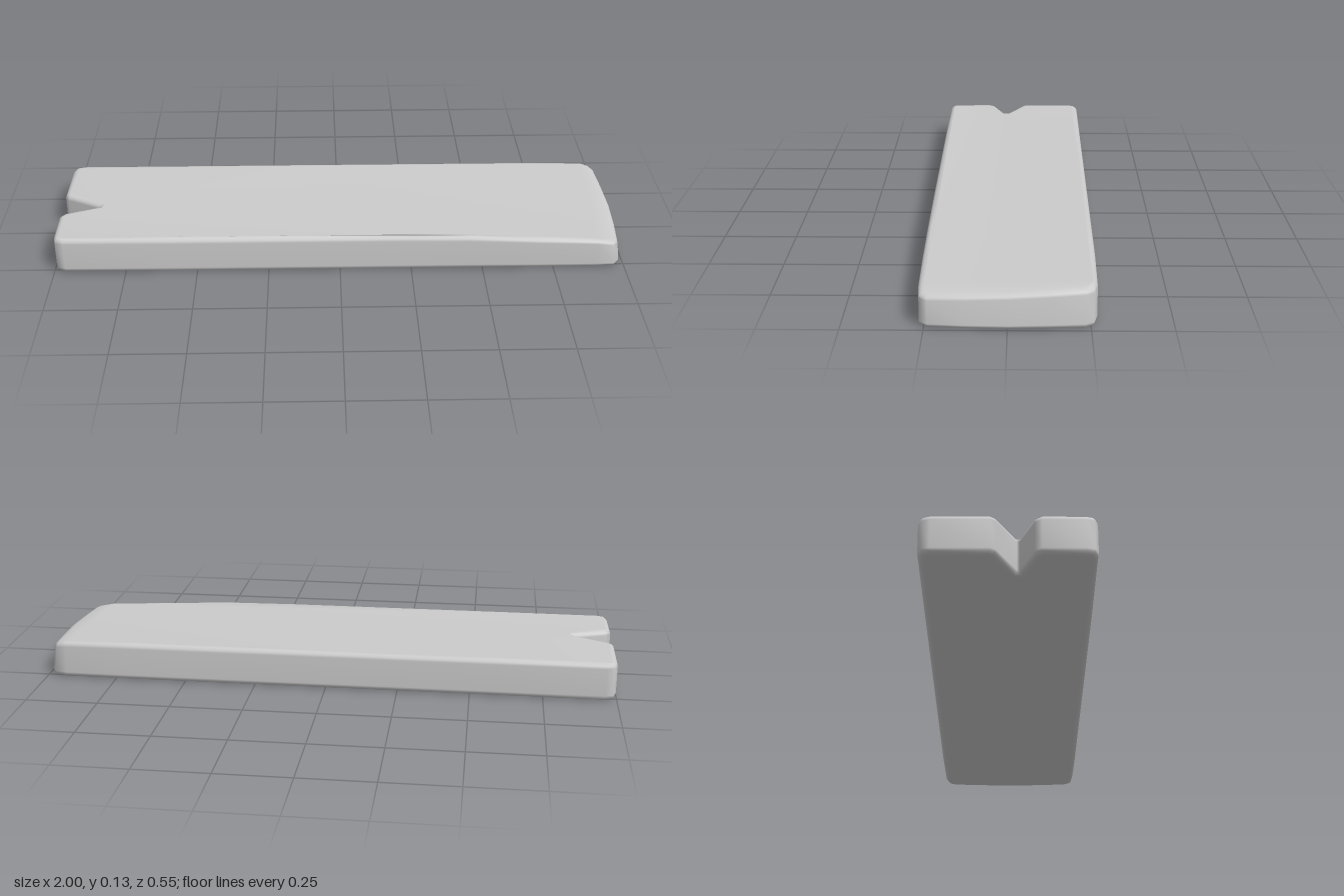
import * as THREE from 'three';
import { mergeVertices } from 'three/addons/utils/BufferGeometryUtils.js';

const HEIGHT = 0.133, BEVEL = 0.018;

// Plan outline of the plank as [x, z], running along the front, the end, the back and the notch
const OUTLINE = [
  [-0.96, 0.27], [-0.6, 0.272], [-0.2, 0.272], [0.2, 0.272], [0.45, 0.272], [0.7, 0.272], [0.9, 0.27],
  [0.965, 0.265], [0.985, 0.24], [0.995, 0.13], [1, 0], [0.995, -0.13], [0.987, -0.235], [0.972, -0.26],
  [0.93, -0.27], [0.7, -0.273], [0.45, -0.273], [0.2, -0.273], [-0.2, -0.273], [-0.6, -0.273], [-0.96, -0.273],
  [-0.988, -0.262], [-0.998, -0.235], [-0.998, -0.055], [-0.985, -0.037],
  [-0.865, 0.025], [-0.865, 0.034],
  [-0.98, 0.078], [-0.997, 0.1], [-0.995, 0.235], [-0.987, 0.26],
];

function plankGeometry() {
  const shape = new THREE.Shape(OUTLINE.map(([x, z]) => new THREE.Vector2(x, -z)));
  let geometry = new THREE.ExtrudeGeometry(shape, {
    depth: HEIGHT - 2 * BEVEL, steps: 1,
    bevelEnabled: true, bevelSize: BEVEL, bevelThickness: BEVEL, bevelOffset: -BEVEL, bevelSegments: 3,
  });
  geometry.rotateX(-Math.PI / 2);
  geometry.translate(0, BEVEL, 0);

  // Worn top: it sinks towards the front left corner and rounds over at the left end
  const p = geometry.attributes.position;
  for (let i = 0; i < p.count; i++) {
    const x = p.getX(i), y = p.getY(i), z = p.getZ(i);
    const up = y / HEIGHT;
    const along = THREE.MathUtils.smoothstep(x, 0.3, 1);
    const across = THREE.MathUtils.clamp((z + 0.25) / 0.5, 0, 1);
    const end = THREE.MathUtils.smoothstep(x, 0.9, 1);
    p.setY(i, y - up * (0.026 * along * across + 0.012 * end));
    p.setX(i, x - 0.015 * end * up * up);
  }

  // Weld the surface for soft shading
  geometry.deleteAttribute('normal');
  geometry.deleteAttribute('uv');
  geometry.clearGroups();
  geometry = mergeVertices(geometry, 1e-4);
  geometry.computeVertexNormals();
  return geometry;
}

export function createModel() {
  const group = new THREE.Group();
  group.name = 'notchedPlank';
  const plank = new THREE.Mesh(plankGeometry(), new THREE.MeshStandardMaterial({ color: 0xcccccc }));
  plank.name = 'plank';
  group.add(plank);
  return group;
}
